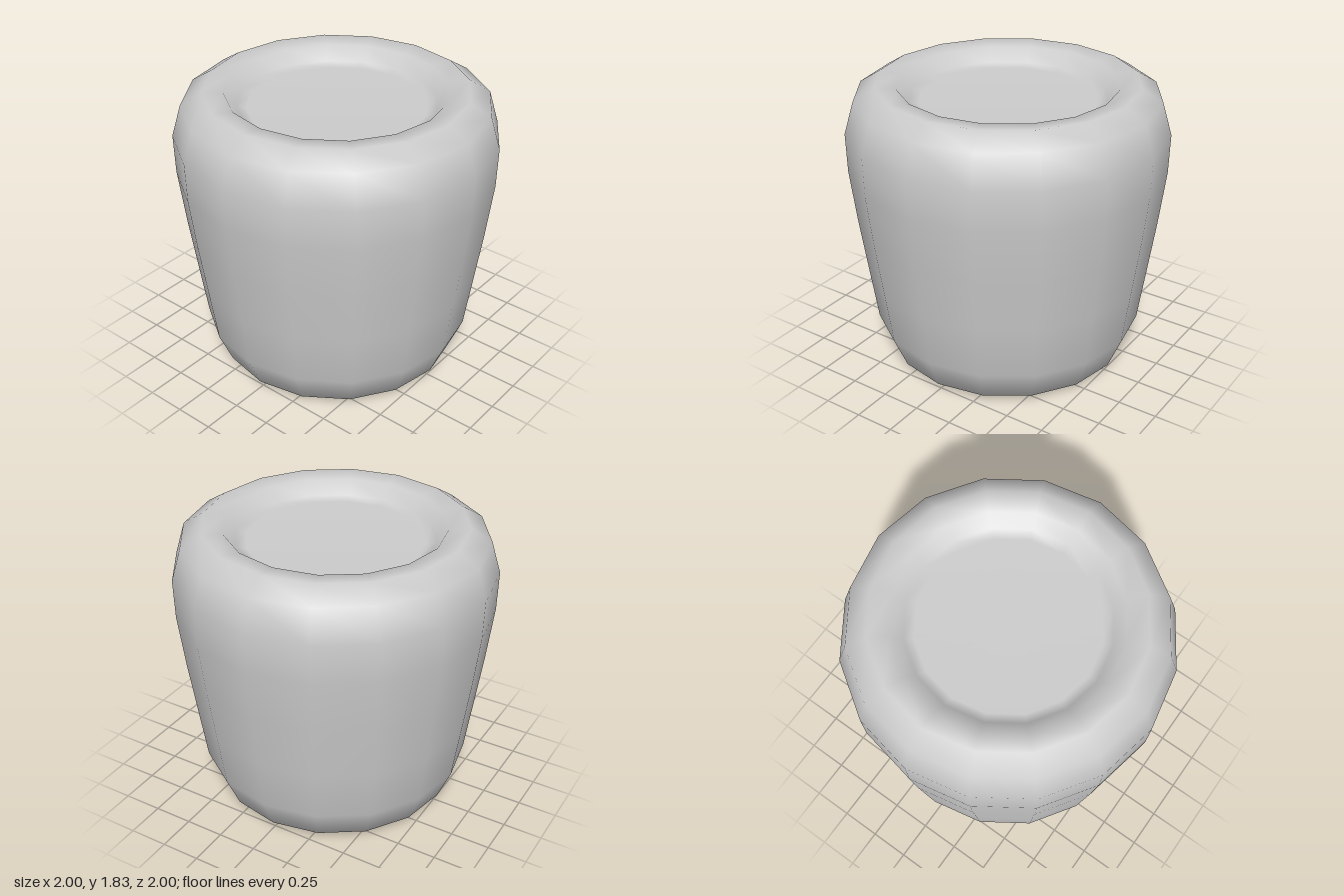
import * as THREE from 'three';

// Half cross-section of the body as [radius, height], from the underside to the dished top
const PROFILE = [
  [0, 0.02], [0.57, 0.02], [0.64, 0], // slightly recessed underside
  [0.775, 0.045], [0.86, 0.25], // rounded foot
  [0.908, 0.6], [0.955, 0.95], [0.995, 1.3], // flaring wall
  [1, 1.55], [0.94, 1.75], [0.81, 1.83], // rounded shoulder
  [0.68, 1.815], [0.61, 1.73], [0.55, 1.71], [0, 1.71], // rim and sunken top
];
const SIDES = 16;

export function createModel() {
  const group = new THREE.Group();
  group.name = 'roundStool';

  // One smooth shaded turned body
  const points = PROFILE.map(([r, y]) => new THREE.Vector2(r, y));
  const body = new THREE.Mesh(
    new THREE.LatheGeometry(points, SIDES),
    new THREE.MeshStandardMaterial({ color: 0xcccccc }),
  );
  body.name = 'body';
  group.add(body);
  return group;
}
